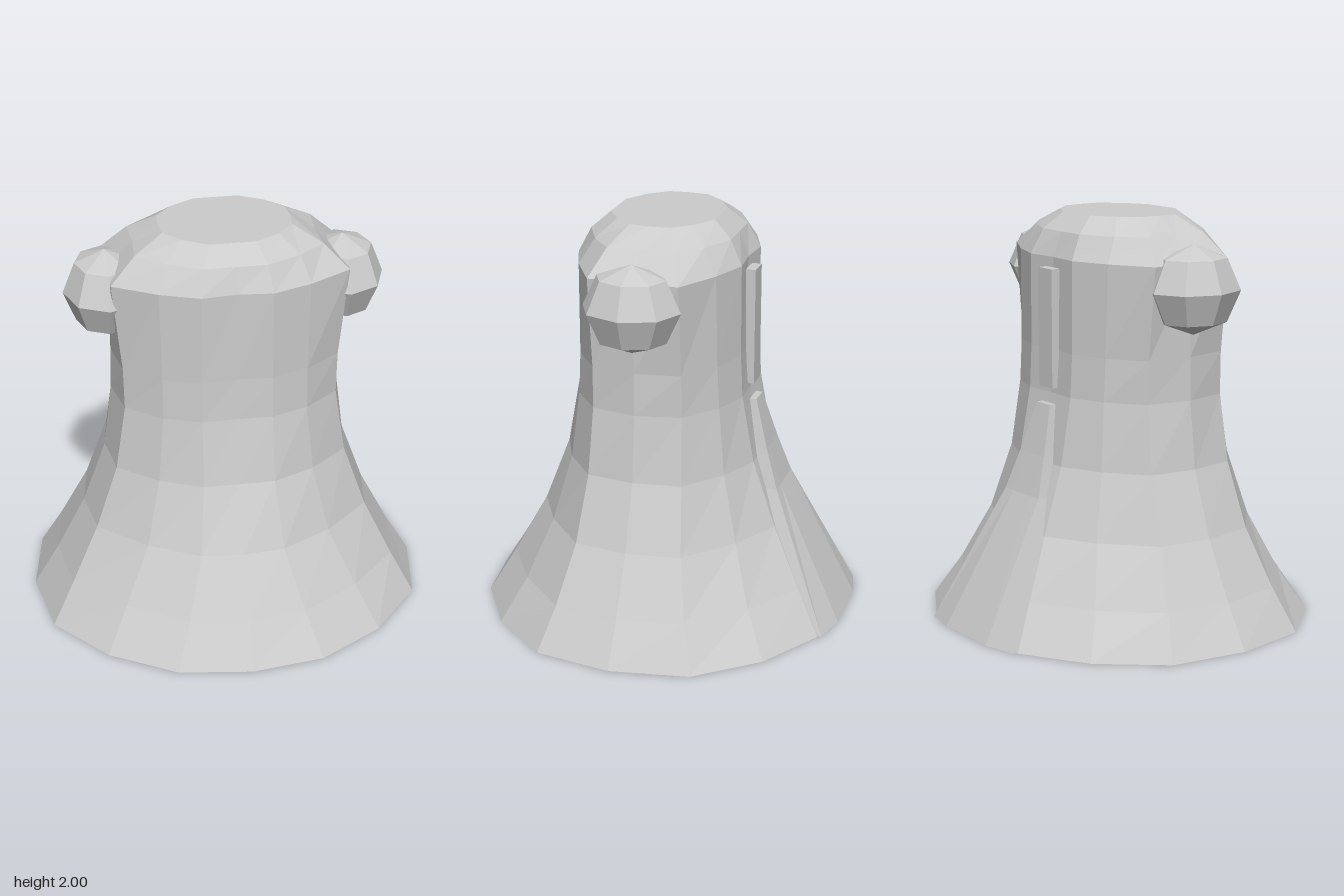
import * as THREE from 'three';

const material = new THREE.MeshStandardMaterial({ color: 0xcccccc, flatShading: true });

function part(name, geometry) {
  const mesh = new THREE.Mesh(geometry, material);
  mesh.name = name;
  return mesh;
}

// Skin a stack of closed rings (bottom to top) and cap both ends.
function loft(rings) {
  const n = rings[0].length;
  const index = [];
  for (let r = 0; r < rings.length - 1; r++) {
    for (let i = 0; i < n; i++) {
      const j = (i + 1) % n;
      const a = r * n + i, b = r * n + j, c = a + n, d = b + n;
      index.push(a, c, b, b, c, d);
    }
  }
  const top = (rings.length - 1) * n;
  for (let i = 1; i < n - 1; i++) {
    index.push(0, i, i + 1, top, top + i + 1, top + i);
  }
  const geometry = new THREE.BufferGeometry();
  geometry.setAttribute('position', new THREE.Float32BufferAttribute(rings.flat(2), 3));
  geometry.setIndex(index);
  const flat = geometry.toNonIndexed();
  flat.computeVertexNormals();
  return flat;
}

// Mirror a quarter outline (side to front, five x/z points) into a 16-sided ring.
function mirroredRing(y, quarter) {
  const half = [...quarter, ...quarter.slice(0, 4).reverse().map(([x, z]) => [-x, z])];
  const full = [...half, ...half.slice(1, 8).reverse().map(([x, z]) => [x, -z])];
  return full.map(([x, z]) => [x, y, z + 0.004 * Math.min(y, 2)]);
}

export function createModel() {
  const model = new THREE.Group();
  model.name = 'robedFigure';

  // Flared robe narrowing to a flat-sided neck and a bevelled crown
  const levels = [
    [0, [[0.99, 0], [0.925, 0.385], [0.68, 0.675], [0.36, 0.865], [0, 0.915]]],
    [0.21, [[0.865, 0], [0.815, 0.325], [0.575, 0.57], [0.285, 0.745], [0, 0.785]]],
    [0.49, [[0.72, 0], [0.68, 0.265], [0.45, 0.47], [0.205, 0.6], [0, 0.62]]],
    [0.81, [[0.605, 0], [0.57, 0.235], [0.38, 0.39], [0.175, 0.48], [0, 0.48]]],
    [1.14, [[0.565, 0], [0.52, 0.222], [0.35, 0.355], [0.17, 0.42], [0, 0.415]]],
    [1.35, [[0.56, 0], [0.524, 0.22], [0.35, 0.345], [0.17, 0.41], [0, 0.4]]],
    [1.8, [[0.565, 0], [0.57, 0.222], [0.36, 0.34], [0.17, 0.41], [0, 0.395]]],
    [1.92, [[0.44, 0], [0.45, 0.165], [0.32, 0.27], [0.15, 0.35], [0, 0.35]]],
    [2, [[0.32, 0], [0.31, 0.1], [0.23, 0.19], [0.11, 0.26], [0, 0.26]]],
  ];
  model.add(part('body', loft(levels.map(([y, q]) => mirroredRing(y, q)))));

  // Faceted round ears
  for (const side of [1, -1]) {
    const ear = part(side > 0 ? 'leftEar' : 'rightEar', new THREE.SphereGeometry(1, 8, 4));
    ear.scale.set(0.205, 0.215, 0.24);
    ear.position.set(side * 0.575, 1.675, 0.01);
    model.add(ear);
  }

  // Narrow raised strip on the upper back
  const strip = part('backStrip', new THREE.BoxGeometry(0.11, 0.58, 0.1));
  strip.position.set(0, 1.46, -0.39);
  model.add(strip);

  // Raised tail panel widening down the back: y, half width, edge z, middle z, inner z
  const tail = [
    [0, 0.35, -0.885, -0.925, -0.8],
    [0.66, 0.14, -0.588, -0.59, -0.48],
    [0.85, 0.1, -0.525, -0.525, -0.43],
    [1.09, 0.055, -0.455, -0.455, -0.36],
  ].map(([y, w, edge, middle, inner]) => [
    [w, y, inner], [-w, y, inner], [-w, y, edge],
    [-w / 2, y, middle], [w / 2, y, middle], [w, y, edge],
  ]);
  model.add(part('tailPanel', loft(tail)));

  return model;
}
